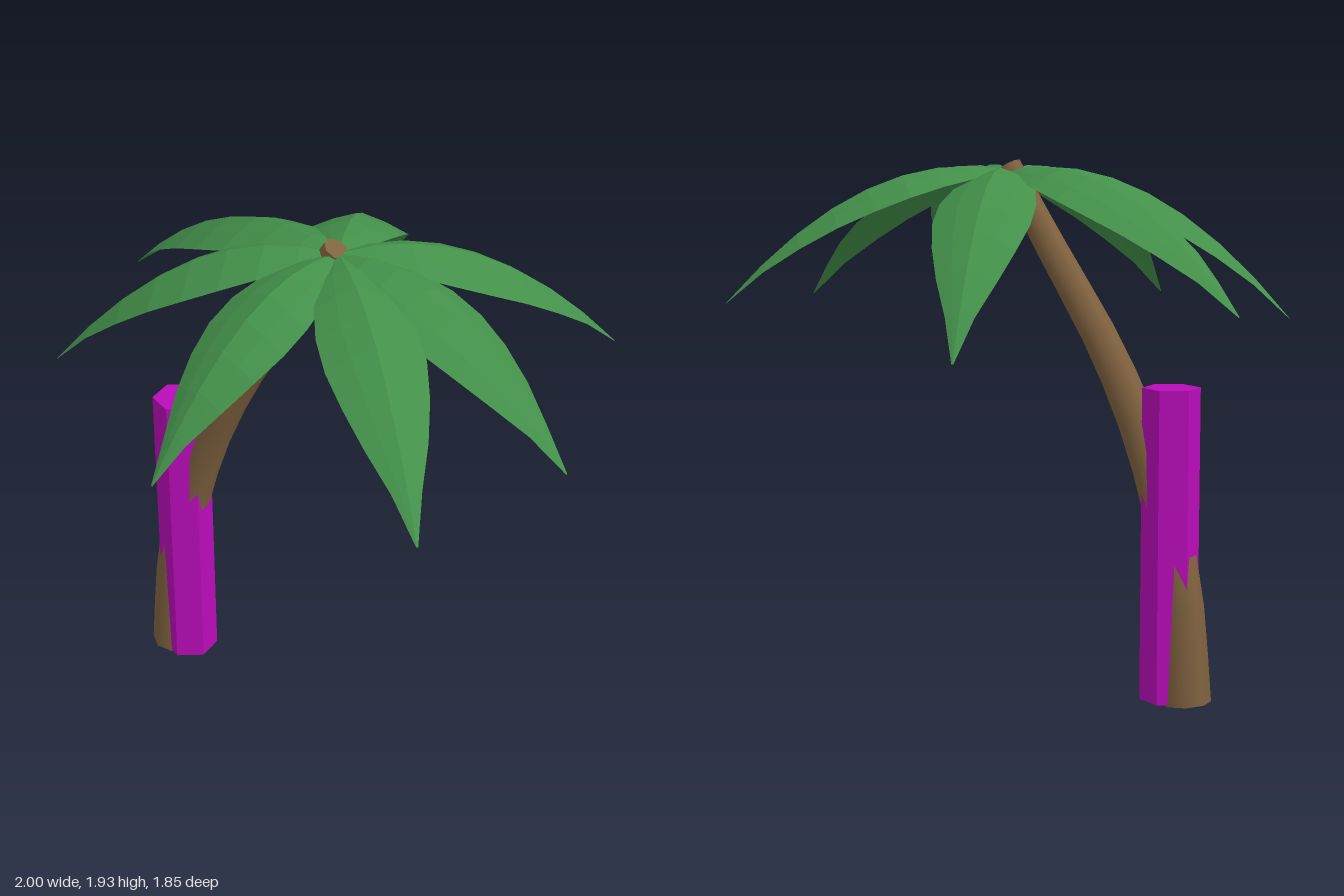
import * as THREE from 'three';

const trunkMat = new THREE.MeshStandardMaterial({ color: 0x80623f });
const nutMat = new THREE.MeshStandardMaterial({ color: 0x5c3d28 });
const postMat = new THREE.MeshStandardMaterial({ color: 0xb80cb8, flatShading: true });
const leafMat = new THREE.MeshStandardMaterial({ color: 0x43904a, flatShading: true, side: THREE.DoubleSide });

const CROWN = new THREE.Vector3(0.05, 1.89, 0.035);

// Bent, tapering trunk: a cylinder laid along a curve in the xy plane
function trunkGeometry() {
  const curve = new THREE.CatmullRomCurve3([
    [-0.675, 0.005], [-0.645, 0.4], [-0.582, 0.7], [-0.47, 1.02],
    [-0.33, 1.3], [-0.16, 1.57], [0.045, 1.905],
  ].map(([x, y]) => new THREE.Vector3(x, y, CROWN.z)));
  const geo = new THREE.CylinderGeometry(1, 1, 1, 8, 12).rotateY(Math.PI / 8);
  const pos = geo.attributes.position, nor = geo.attributes.normal;
  const v = new THREE.Vector3(), side = new THREE.Vector3(), z = new THREE.Vector3(0, 0, 1);
  for (let i = 0; i < pos.count; i++) {
    const t = THREE.MathUtils.clamp(pos.getY(i) + 0.5, 0, 1);
    const tan = curve.getTangentAt(t);
    side.set(tan.y, -tan.x, 0);
    const r = 0.09 - 0.042 * t;
    v.copy(curve.getPointAt(t)).addScaledVector(side, pos.getX(i) * r).addScaledVector(z, pos.getZ(i) * r);
    pos.setXYZ(i, v.x, v.y, v.z);
    v.set(0, 0, 0).addScaledVector(side, nor.getX(i)).addScaledVector(tan, nor.getY(i)).addScaledVector(z, nor.getZ(i));
    nor.setXYZ(i, v.x, v.y, v.z);
  }
  return geo;
}

// Half width of a frond along its length
const HALF_WIDTH = [0.025, 0.095, 0.145, 0.17, 0.17, 0.145, 0.105, 0.05, 0.003];

// Arched frond, folded along its midrib, from the crown to a tip
function frondGeometry(tx, ty, tz) {
  const rows = HALF_WIDTH.length - 1;
  const dx = tx - CROWN.x, dz = tz - CROWN.z, len = Math.hypot(dx, dz);
  const fall = CROWN.y - ty;
  const geo = new THREE.PlaneGeometry(2, 1, 4, rows);
  const pos = geo.attributes.position;
  for (let i = 0; i < pos.count; i++) {
    const u = pos.getX(i), t = 0.5 - pos.getY(i);
    const w = HALF_WIDTH[Math.round(t * rows)];
    const rib = CROWN.y + 0.21 * t - (fall + 0.21) * t * t;
    pos.setXYZ(i,
      CROWN.x + dx * t - (dz / len) * u * w,
      rib - 0.42 * w * Math.abs(u) ** 1.3,
      CROWN.z + dz * t + (dx / len) * u * w);
  }
  // keep the front side facing up
  const idx = geo.index.array;
  for (let i = 0; i < idx.length; i += 3) [idx[i + 1], idx[i + 2]] = [idx[i + 2], idx[i + 1]];
  geo.computeVertexNormals();
  return geo;
}

export function createModel() {
  const model = new THREE.Group();
  model.name = 'palmTree';
  const add = (name, geo, mat, parent = model) => {
    const mesh = new THREE.Mesh(geo, mat);
    mesh.name = name;
    parent.add(mesh);
    return mesh;
  };

  add('trunk', trunkGeometry(), trunkMat);

  // Six-sided post through the lower trunk
  add('post', new THREE.CylinderGeometry(0.104, 0.104, 1.13, 6), postMat).position.set(-0.605, 0.575, 0.036);

  // Fronds, by tip position
  const fronds = new THREE.Group();
  fronds.name = 'fronds';
  model.add(fronds);
  [
    [-0.26, 1.31, -0.93], [0.83, 1.43, -0.62], [1.0, 1.39, 0.22], [0.77, 1.42, 0.87],
    [-0.17, 1.39, 0.92], [-0.93, 1.37, 0.34], [-1.0, 1.44, -0.32],
  ].forEach((tip, i) => add(`frond${i + 1}`, frondGeometry(...tip), leafMat, fronds));

  // Coconuts under the crown
  const nuts = new THREE.Group();
  nuts.name = 'coconuts';
  model.add(nuts);
  [[0.15, 1.81, 0.085], [0.04, 1.8, -0.015], [0.01, 1.8, 0.11]].forEach((p, i) =>
    add(`coconut${i + 1}`, new THREE.SphereGeometry(0.054, 14, 10), nutMat, nuts).position.set(...p));

  return model;
}
